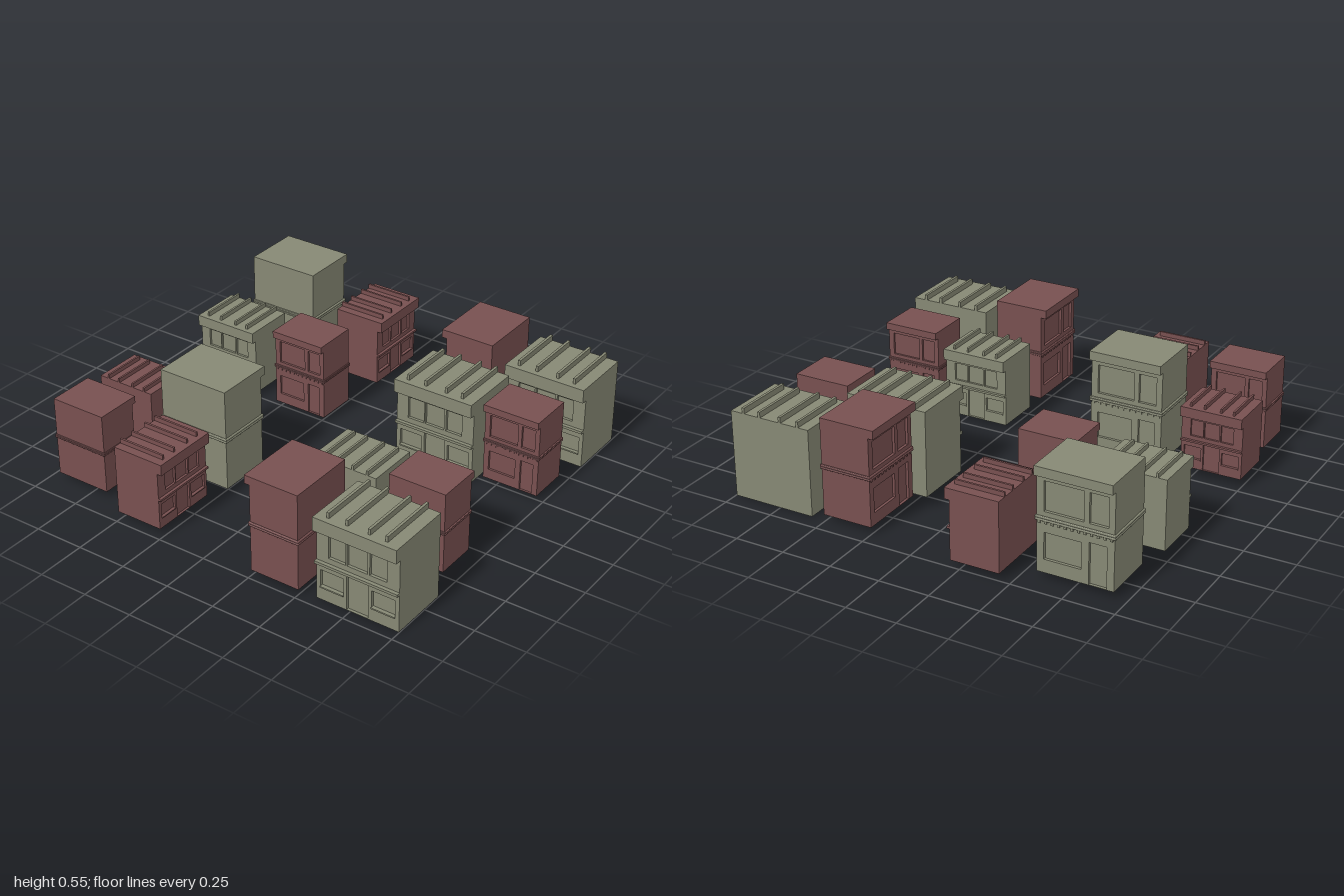
import * as THREE from 'three';
import { RoundedBoxGeometry } from 'three/addons/geometries/RoundedBoxGeometry.js';

const olive = new THREE.MeshStandardMaterial({ color: 0x868874 });
const brown = new THREE.MeshStandardMaterial({ color: 0x785050 });
const RECESS = 0.014;

function add(group, name, geometry, material, x, y, z) {
  const mesh = new THREE.Mesh(geometry, material);
  mesh.name = name;
  mesh.position.set(x, y, z);
  group.add(mesh);
}

// Box given by its min and max on each axis
function block(group, name, mat, x0, x1, y0, y1, z0, z1) {
  add(group, name, new THREE.BoxGeometry(x1 - x0, y1 - y0, z1 - z0), mat,
    (x0 + x1) / 2, (y0 + y1) / 2, (z0 + z1) / 2);
}

function rectangle(PathClass, x0, x1, y0, y1) {
  return new PathClass([[x0, y0], [x1, y0], [x1, y1], [x0, y1]].map(p => new THREE.Vector2(...p)));
}

// Solid body with a front wall pierced by shallow window and door recesses
function walls(group, mat, w, h, zBack, zFront, openings) {
  block(group, 'body', mat, -w / 2, w / 2, 0, h, zBack, zFront - RECESS);
  const shape = rectangle(THREE.Shape, -w / 2, w / 2, 0, h);
  openings.forEach(o => shape.holes.push(rectangle(THREE.Path, ...o)));
  const wall = new THREE.ExtrudeGeometry(shape, { depth: RECESS, bevelEnabled: false });
  add(group, 'facadeWall', wall, mat, 0, 0, zFront - RECESS);
}

// Wide house: three upper windows, central door, ribbed roof
function ribbedHouse(mat) {
  const g = new THREE.Group();
  const w = 0.422, h = 0.433, back = -0.1675, front = 0.1375;
  walls(g, mat, w, h, back, front, [
    [-0.148, -0.061, 0.23, 0.342], [-0.054, 0.05, 0.23, 0.342], [0.061, 0.148, 0.23, 0.342],
    [-0.19, -0.072, 0.07, 0.155], [0.072, 0.19, 0.07, 0.155],
    [-0.056, 0.056, 0.002, 0.187],
  ]);
  block(g, 'cornice', mat, -w / 2, w / 2, 0.365, h, front, front + 0.03);
  block(g, 'beltCourse', mat, -w / 2, w / 2, 0.19, 0.203, front, front + 0.018);
  for (const s of [-1, 1]) {
    block(g, 'windowSill', mat, s * 0.131 - 0.06, s * 0.131 + 0.06, 0.064, 0.071, front, front + 0.006);
  }
  for (const x of [-0.152, -0.056, 0.056, 0.143]) {
    block(g, 'roofRib', mat, x - 0.0065, x + 0.0065, h, 0.461, back, front);
  }
  return g;
}

// Narrow house: flat roof, overhanging cornice and a double belt all round
function beltedHouse(mat) {
  const g = new THREE.Group();
  const w = 0.37, h = 0.515, back = -0.1455, front = 0.1245;
  walls(g, mat, w, h, back, front, [
    [-0.15, 0.04, 0.295, 0.44], [0.065, 0.155, 0.295, 0.44],
    [-0.15, 0.03, 0.065, 0.195], [0.065, 0.15, 0.002, 0.205],
  ]);
  block(g, 'cornice', mat, -w / 2, w / 2, 0.47, h, front, front + 0.028);
  for (const y of [0.2545, 0.2665]) {
    const belt = new RoundedBoxGeometry(w + 0.014, 0.0115, front - back + 0.014, 2, 0.004);
    add(g, 'belt', belt, mat, 0, y, (front + back) / 2);
  }
  for (let i = 0; i < 12; i++) {
    const x = -0.171 + i * 0.0311;
    block(g, 'dentil', mat, x - 0.006, x + 0.006, 0.238, 0.25, front, front + 0.005);
  }
  return g;
}

export function createModel() {
  const model = new THREE.Group();
  model.name = 'townBlock';
  const S = 0, E = Math.PI / 2, N = Math.PI, W = -Math.PI / 2; // facing +z, +x, -z, -x

  // scale, x, z, facing, material
  const ribbed = [
    [0.8, -0.313, -0.83, E, brown], [1, 0.786, -0.752, S, olive],
    [0.8, -0.807, -0.342, S, olive], [1, 0.433, -0.339, S, olive],
    [0.73, -0.847, 0.38, N, brown], [0.8, 0.417, 0.38, N, olive],
    [0.8, -0.377, 0.803, E, brown], [1, 0.786, 0.805, S, olive],
  ];
  const belted = [
    [1, -0.754, -0.767, N, olive], [0.937, 0.369, -0.751, W, brown],
    [0.78, -0.371, -0.331, S, brown], [0.78, 0.829, -0.331, S, brown],
    [1, -0.408, 0.392, N, olive], [0.78, 0.798, 0.402, N, brown],
    [0.78, -0.807, 0.765, N, brown], [0.937, 0.369, 0.807, W, brown],
  ];
  const place = (house, name, [s, x, z, angle], y) => {
    house.name = name;
    house.scale.setScalar(s);
    house.rotation.y = angle;
    house.position.set(x, y, z);
    model.add(house);
  };
  ribbed.forEach(r => place(ribbedHouse(r[4]), 'ribbedRoofHouse', r, 0.17 * (1 - r[0])));
  belted.forEach(b => place(beltedHouse(b[4]), 'flatRoofHouse', b, 0.032));
  return model;
}
